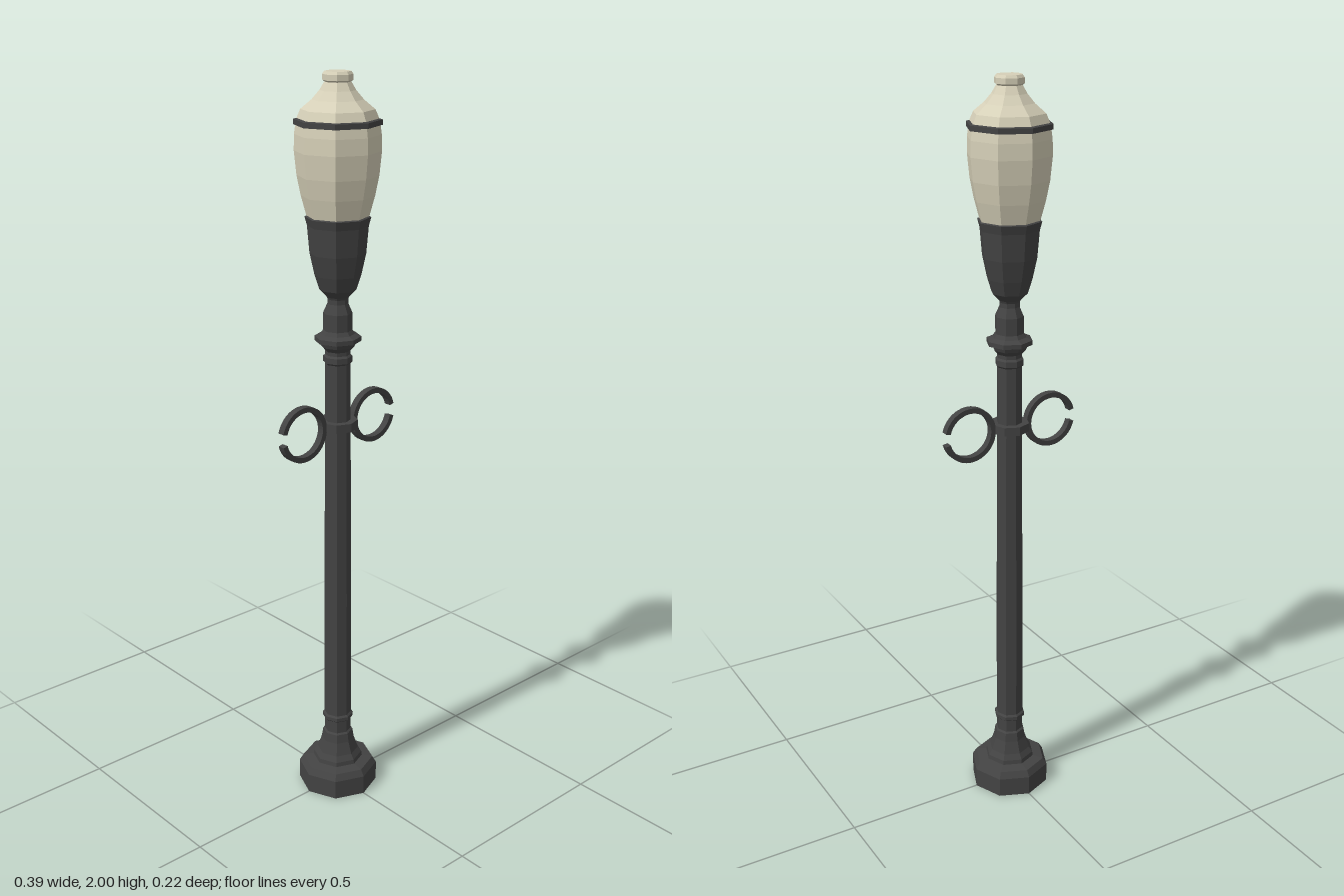
import * as THREE from 'three';

const SIDES = 8;
const iron = new THREE.MeshStandardMaterial({ color: 0x434343, flatShading: true });
const glass = new THREE.MeshStandardMaterial({ color: 0xd6d0b8, flatShading: true });

// Eight-sided turned part from [radius, height] pairs, listed bottom to top
function turned(name, material, profile) {
  const points = profile.map(([r, y]) => new THREE.Vector2(r, y));
  const mesh = new THREE.Mesh(new THREE.LatheGeometry(points, SIDES), material);
  mesh.name = name;
  return mesh;
}

// Flat iron band bent into an open ring, with its gap facing +x
function scroll(name) {
  const gap = 0.24, outer = 0.075, inner = 0.061;
  const shape = new THREE.Shape();
  shape.absarc(0, 0, outer, gap, Math.PI * 2 - gap, false);
  shape.absarc(0, 0, inner, Math.PI * 2 - gap, gap, true);
  shape.closePath();
  const geometry = new THREE.ExtrudeGeometry(shape, { depth: 0.02, bevelEnabled: false, curveSegments: 18 });
  geometry.translate(0, 0, -0.01);
  const mesh = new THREE.Mesh(geometry, iron);
  mesh.name = name;
  return mesh;
}

export function createModel() {
  const lamp = new THREE.Group();
  lamp.name = 'streetLamp';

  // Stepped foot flaring up into the pole
  lamp.add(turned('base', iron, [
    [0, 0], [0.111, 0], [0.111, 0.055], [0.1, 0.073], [0.07, 0.078], [0.068, 0.09],
    [0.058, 0.105], [0.046, 0.14], [0.042, 0.165], [0.036, 0.17],
  ]));

  // Slightly tapering pole with low and high bands
  lamp.add(turned('pole', iron, [
    [0.037, 0.16], [0.037, 0.205], [0.043, 0.21], [0.043, 0.22], [0.038, 0.225],
    [0.037, 0.6], [0.033, 1.265], [0.038, 1.27], [0.038, 1.285], [0.033, 1.29], [0.033, 1.31],
  ]));

  // Flange and neck under the lantern
  lamp.add(turned('neck', iron, [
    [0.033, 1.3], [0.044, 1.312], [0.048, 1.322], [0.061, 1.326], [0.061, 1.338],
    [0.045, 1.345], [0.038, 1.355], [0.038, 1.4], [0.027, 1.425], [0.027, 1.437], [0.034, 1.452],
  ]));

  // Collar holding the two scrolls
  lamp.add(turned('collar', iron, [
    [0.033, 1.087], [0.053, 1.087], [0.053, 1.11], [0.033, 1.11],
  ]));
  for (const side of [1, -1]) {
    const ring = scroll(side > 0 ? 'leftScroll' : 'rightScroll');
    ring.position.set(side * 0.122, 1.096, 0);
    if (side < 0) ring.rotation.y = Math.PI;
    lamp.add(ring);
  }

  // Lantern: iron cup, glass globe, rim and cap
  lamp.add(turned('lanternCup', iron, [
    [0.027, 1.44], [0.048, 1.462], [0.06, 1.5], [0.072, 1.555], [0.078, 1.625],
    [0.084, 1.647], [0.078, 1.65],
  ]));
  lamp.add(turned('globe', glass, [
    [0.078, 1.645], [0.093, 1.7], [0.103, 1.75], [0.109, 1.81], [0.108, 1.85], [0.104, 1.877],
  ]));
  lamp.add(turned('lanternRim', iron, [
    [0.1, 1.872], [0.11, 1.873], [0.11, 1.886], [0.098, 1.889],
  ]));
  lamp.add(turned('cap', glass, [
    [0.102, 1.887], [0.092, 1.91], [0.064, 1.933], [0.045, 1.955], [0.033, 1.975],
  ]));
  lamp.add(turned('finial', glass, [
    [0.031, 1.974], [0.038, 1.979], [0.038, 1.993], [0.033, 2], [0, 2],
  ]));

  return lamp;
}
